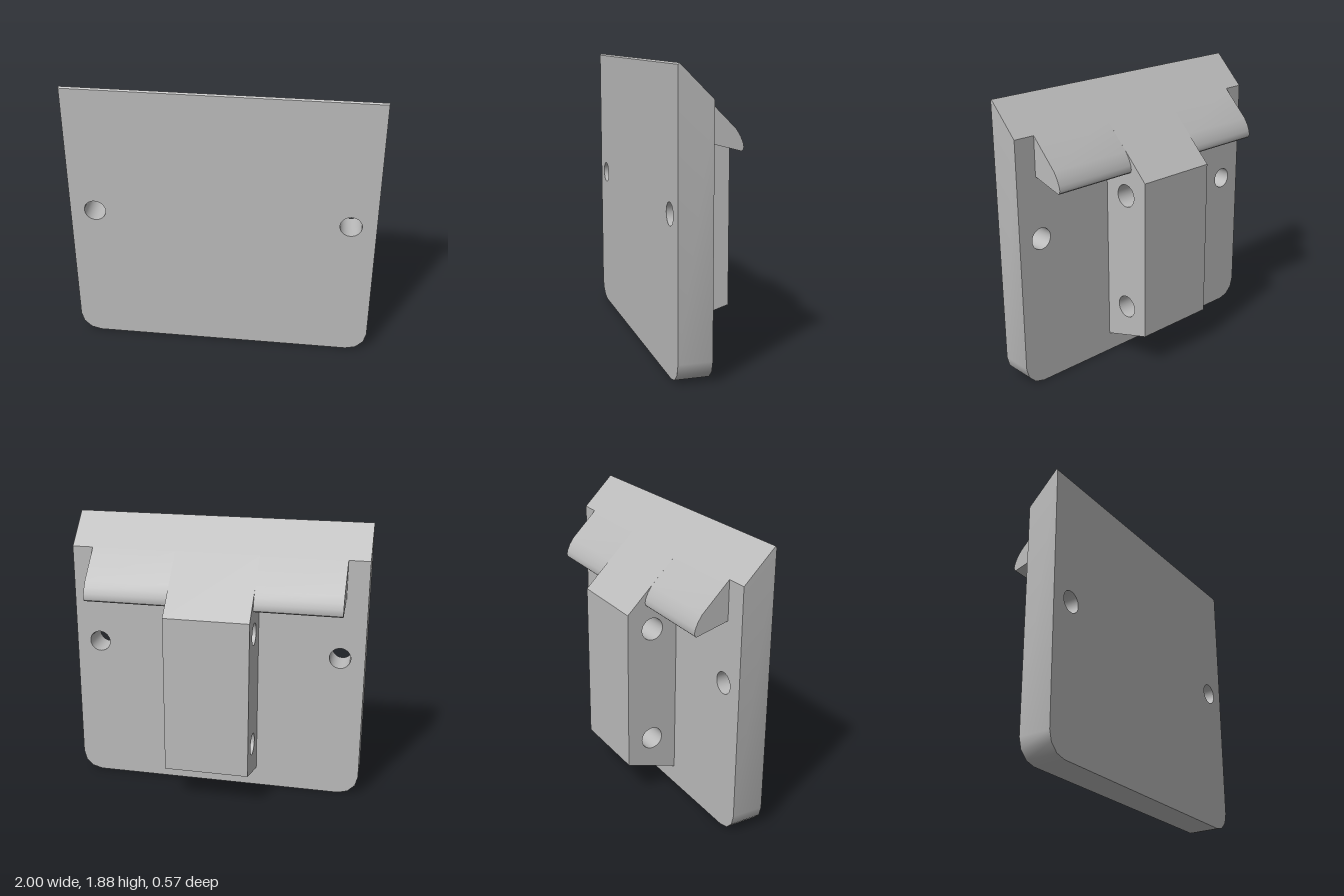
import * as THREE from 'three';
import { toCreasedNormals } from 'three/addons/utils/BufferGeometryUtils.js';

const W = 1, FRONT = 0.285, BACK = 0.07, TOP = 1.865, CREASE = 0.6;

// Closed shape from [x, y] pairs, with optional round holes [x, y, r]
function makeShape(points, holes = []) {
  const shape = new THREE.Shape(points.map(([x, y]) => new THREE.Vector2(x, y)));
  for (const [x, y, r] of holes) {
    shape.holes.push(new THREE.Path().absarc(x, y, r, 0, Math.PI * 2, true));
  }
  return shape;
}

// Extrude a side profile given as [z, y] pairs from x0 to x1
function sideExtrude(profile, x0, x1, holes = []) {
  const shape = makeShape(profile.map(([z, y]) => [-z, y]), holes.map(([z, y, r]) => [-z, y, r]));
  const geo = new THREE.ExtrudeGeometry(shape, { depth: x1 - x0, bevelEnabled: false, curveSegments: 16 });
  geo.rotateY(Math.PI / 2);
  geo.translate(x0, 0, 0);
  return toCreasedNormals(geo, CREASE);
}

// Plate with rounded lower corners, two holes and a sloped top edge
function plateGeometry() {
  const r = 0.135;
  const points = [[W, TOP], [-W, TOP]];
  for (const side of [-1, 1]) {
    for (let i = 0; i <= 3; i++) {
      const a = (side < 0 ? i : 3 - i) * Math.PI / 6;
      points.push([side * (W - r + r * Math.cos(a)), r - r * Math.sin(a)]);
    }
  }
  const shape = makeShape(points, [[-0.835, 1, 0.071], [0.835, 1, 0.071]]);
  const geo = new THREE.ExtrudeGeometry(shape, { depth: FRONT - BACK, bevelEnabled: false, curveSegments: 16 });
  geo.translate(0, 0, BACK);
  const p = geo.attributes.position;
  for (let i = 0; i < p.count; i++) {
    if (p.getY(i) > TOP - 0.01 && p.getZ(i) < BACK + 0.01) p.setY(i, 1.669);
  }
  geo.computeVertexNormals();
  return toCreasedNormals(geo, CREASE);
}

export function createModel() {
  const group = new THREE.Group();
  const grey = new THREE.MeshStandardMaterial({ color: 0xbbbbbb });
  grey.name = 'plain grey';
  const add = (name, geo) => {
    const mesh = new THREE.Mesh(geo, grey);
    mesh.name = name;
    group.add(mesh);
  };

  add('plate', plateGeometry());

  // Fine ridge finishing the sloped top edge
  add('topRidge', sideExtrude([[FRONT, TOP], [BACK, 1.669], [0.277, 1.875]], -W, W));

  // Central block on the back, cross-drilled twice
  add('centreBlock', sideExtrude(
    [[BACK, 0.13], [-0.285, 0.24], [-0.285, 1.315], [BACK, 1.669]],
    -0.285, 0.285,
    [[-0.108, 1.19, 0.075], [-0.108, 0.4, 0.075]]));

  // Hooked lips either side of the block
  const lip = [[BACK, 1.412], [-0.148, 1.353], [-0.158, 1.362], [-0.161, 1.38],
    [-0.156, 1.405], [-0.14, 1.443], [-0.112, 1.487], [BACK, 1.669]];
  add('leftLip', sideExtrude(lip, 0.285, 0.858));
  add('rightLip', sideExtrude(lip, -0.858, -0.285));

  return group;
}
